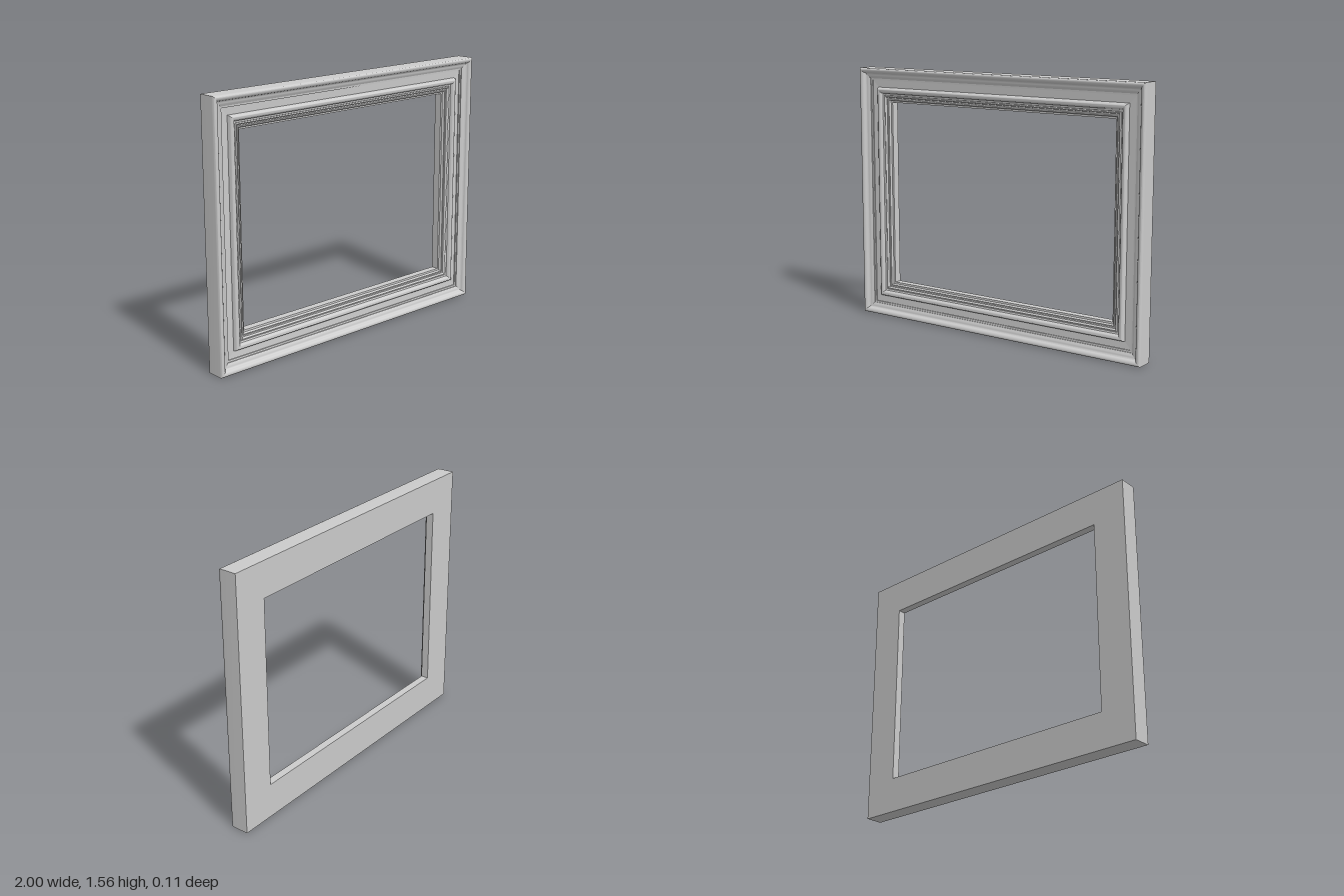
import * as THREE from 'three';
import { toCreasedNormals } from 'three/addons/utils/BufferGeometryUtils.js';

const HALF_W = 1, HEIGHT = 1.56;

// Half-round bead from d0 to d1 (inset), rising from z0 to the crest and down to z1
function bead(d0, d1, z0, crest, z1, peak = 0.5, steps = 10) {
  const points = [];
  const top = d0 + (d1 - d0) * peak;
  for (let i = 0; i <= steps; i++) {
    const a = Math.PI * (1 - i / steps), c = Math.cos(a), s = Math.sin(a);
    const base = c < 0 ? z0 : z1;
    points.push([top + c * (c < 0 ? top - d0 : d1 - top), base + (crest - base) * s]);
  }
  return points;
}

// Moulding section as [inset from outer edge, z], outer back round to inner back
const profile = [
  [0, -0.06],
  ...bead(0, 0.032, 0.038, 0.055, 0.036, 0.3),
  [0.036, 0.032], [0.044, 0.031], [0.052, 0.029], [0.06, 0.024],
  [0.064, 0.022], [0.064, 0.017], [0.075, 0.016], [0.075, 0.01],
  [0.118, 0.008],
  ...bead(0.12, 0.154, 0.014, 0.034, 0.014, 0.4),
  [0.157, 0.012], [0.165, 0.012],
  ...bead(0.167, 0.18, 0.008, 0.015, 0.004, 0.4, 6),
  [0.187, 0.003], [0.187, -0.003],
  ...bead(0.189, 0.199, -0.003, 0.002, -0.012, 0.4, 6),
  [0.21, -0.013],
  [0.21, -0.06],
];

// Frame corners, clockwise seen from the front, with the way each moves inward
const corners = [
  { x: -HALF_W, y: HEIGHT, ix: 1, iy: -1 },
  { x: HALF_W, y: HEIGHT, ix: -1, iy: -1 },
  { x: HALF_W, y: 0, ix: -1, iy: 1 },
  { x: -HALF_W, y: 0, ix: 1, iy: 1 },
];

// One mitred length of moulding between two corners
function railGeometry(from, to) {
  const positions = [];
  const at = (c, [d, z]) => [c.x + c.ix * d, c.y + c.iy * d, z];
  profile.forEach((p, i) => {
    const q = profile[(i + 1) % profile.length];
    const a = at(from, p), b = at(from, q), c = at(to, q), d = at(to, p);
    positions.push(...a, ...b, ...c, ...a, ...c, ...d);
  });
  const geometry = new THREE.BufferGeometry();
  geometry.setAttribute('position', new THREE.Float32BufferAttribute(positions, 3));
  return toCreasedNormals(geometry, 0.7);
}

export function createModel() {
  const group = new THREE.Group();
  group.name = 'pictureFrame';
  const material = new THREE.MeshStandardMaterial({ color: 0xcccccc });
  ['topRail', 'leftStile', 'bottomRail', 'rightStile'].forEach((name, i) => {
    const rail = new THREE.Mesh(railGeometry(corners[i], corners[(i + 1) % 4]), material);
    rail.name = name;
    group.add(rail);
  });
  return group;
}
